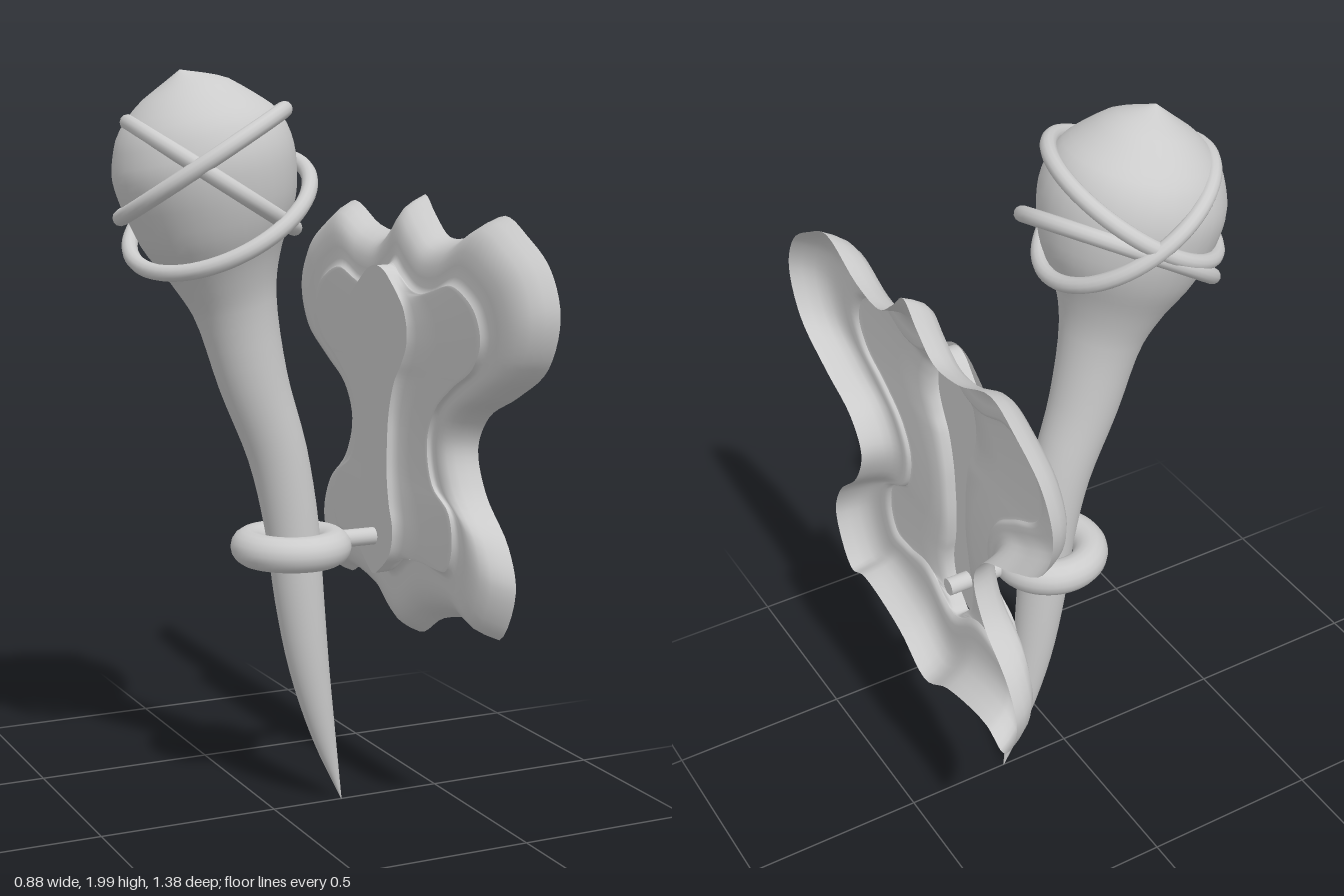
import * as THREE from 'three';

const grey = new THREE.MeshStandardMaterial({ color: 0xcccccc });
const sheet = new THREE.MeshStandardMaterial({ color: 0xcccccc, side: THREE.DoubleSide });

function part(group, name, geometry, material = grey) {
  const mesh = new THREE.Mesh(geometry, material);
  mesh.name = name;
  group.add(mesh);
  return mesh;
}

// Skin a list of closed rings (equal point counts) with smooth normals
function loft(rings) {
  const n = rings[0].length, index = [];
  for (let r = 0; r < rings.length - 1; r++) {
    for (let i = 0; i < n; i++) {
      const a = r * n + i, b = r * n + (i + 1) % n;
      index.push(a, a + n, b, b, a + n, b + n);
    }
  }
  const g = new THREE.BufferGeometry();
  g.setAttribute('position', new THREE.Float32BufferAttribute(rings.flat().flatMap(p => [p.x, p.y, p.z]), 3));
  g.setIndex(index);
  g.computeVertexNormals();
  return g;
}

// Stem and bulb: x, y, radius along the axis from the tip upward
function stemGeometry() {
  const spine = [
    [0.205, 0.01, 0.001], [0.15, 0.2, 0.033], [0.105, 0.4, 0.055], [0.075, 0.6, 0.067],
    [0.052, 0.8, 0.073], [0.01, 1.0, 0.08], [-0.06, 1.2, 0.092], [-0.112, 1.4, 0.112],
    [-0.14, 1.5, 0.148], [-0.165, 1.6, 0.2], [-0.183, 1.7, 0.23], [-0.203, 1.79, 0.235],
    [-0.225, 1.87, 0.203], [-0.245, 1.95, 0.115], [-0.26, 2.0, 0.001]];
  const path = new THREE.CatmullRomCurve3(spine.map(p => new THREE.Vector3(p[0], p[1], 0)));
  const radius = new THREE.CatmullRomCurve3(spine.map(p => new THREE.Vector3(p[2], p[1], 0)));
  const rings = [];
  for (let s = 0; s <= 56; s++) {
    const c = path.getPoint(s / 56), t = path.getTangent(s / 56);
    const r = Math.max(0.001, radius.getPoint(s / 56).x);
    rings.push(Array.from({ length: 32 }, (_, i) => {
      const a = i / 32 * Math.PI * 2;
      return new THREE.Vector3(c.x + t.y * r * Math.cos(a), c.y - t.x * r * Math.cos(a), r * Math.sin(a));
    }));
  }
  return loft(rings);
}

// Half outlines (z, y) of the wall plate, top to bottom, with matching points
const rim = [[0, 1.675], [0.06, 1.625], [0.14, 1.57], [0.26, 1.58], [0.42, 1.64], [0.53, 1.595], [0.64, 1.52],
  [0.688, 1.41], [0.64, 1.28], [0.5, 1.19], [0.36, 1.12], [0.307, 1.03], [0.35, 0.92], [0.47, 0.8],
  [0.51, 0.69], [0.434, 0.547], [0.35, 0.575], [0.14, 0.535], [0, 0.463]];
const field = [[0, 1.495], [0.05, 1.465], [0.12, 1.43], [0.2, 1.425], [0.31, 1.46], [0.38, 1.445], [0.45, 1.4],
  [0.478, 1.33], [0.44, 1.26], [0.34, 1.2], [0.25, 1.13], [0.21, 1.04], [0.24, 0.93], [0.33, 0.87],
  [0.35, 0.78], [0.32, 0.715], [0.25, 0.71], [0.14, 0.725], [0, 0.65]];
const leaf = [[0, 1.49], [0.03, 1.48], [0.06, 1.45], [0.085, 1.42], [0.105, 1.39], [0.115, 1.36], [0.12, 1.33],
  [0.118, 1.29], [0.1, 1.24], [0.075, 1.19], [0.055, 1.1], [0.05, 1.02], [0.05, 0.93], [0.06, 0.85],
  [0.072, 0.8], [0.073, 0.76], [0.06, 0.71], [0.03, 0.67], [0, 0.645]];

// Mirror a half outline and smooth it into a closed ring
function ring(half) {
  const mirrored = half.slice(1, -1).reverse().map(([z, y]) => [-z, y]);
  const curve = new THREE.CatmullRomCurve3([...half, ...mirrored].map(([z, y]) => new THREE.Vector3(0, y, z)), true);
  return Array.from({ length: 180 }, (_, i) => curve.getPoint(i / 180));
}

const blend = (a, b, t, x) => a.map((p, i) => {
  const q = p.clone().lerp(b[i], t);
  q.x = x;
  return q;
});

export function createModel() {
  const model = new THREE.Group();
  model.name = 'wallTorch';

  part(model, 'stemAndBulb', stemGeometry());

  // Bands round the bulb: centre x, y, slope of the plane in x and in z
  [[-0.2, 1.765, 0.6, 0.26], [-0.175, 1.735, -0.6, -0.2], [-0.155, 1.64, 0.62, -0.3]].forEach(([x, y, sx, sz]) => {
    const band = part(model, 'bulbBand', new THREE.TorusGeometry(0.25, 0.021, 12, 64));
    band.position.set(x, y, 0);
    band.quaternion.setFromUnitVectors(new THREE.Vector3(0, 0, 1), new THREE.Vector3(-sx, 1, -sz).normalize());
  });

  // Holder ring and the rod that carries it
  const holder = part(model, 'holderRing', new THREE.TorusGeometry(0.115, 0.048, 16, 48));
  holder.rotation.x = Math.PI / 2;
  holder.position.set(0.05, 0.745, 0);
  const rod = part(model, 'holderRod', new THREE.CylinderGeometry(0.024, 0.024, 0.19, 20));
  rod.rotation.z = Math.PI / 2;
  rod.position.set(0.265, 0.75, 0);

  // Hollow wall plate: curved border, flat field, then the recess wall
  const R = ring(rim), F = ring(field), L = ring(leaf);
  const border = [[0, 0.445], [0.08, 0.415], [0.18, 0.388], [0.32, 0.369], [0.5, 0.36], [0.7, 0.357],
    [0.88, 0.358], [0.96, 0.353], [1, 0.346]].map(([t, x]) => blend(R, F, t, x));
  const floor = [[0, 0.346], [0.06, 0.344], [0.6, 0.343], [0.88, 0.337], [1, 0.325], [1, 0.3]]
    .map(([t, x]) => blend(F, L, t, x));
  part(model, 'plateBorder', loft(border), sheet);
  part(model, 'plateField', loft(floor), sheet);

  // Leaf-shaped back of the recess, flaring past its wall
  const shape = new THREE.Shape(L.map(p => new THREE.Vector2(-p.z * 1.5, p.y)));
  const back = part(model, 'recessBack', new THREE.ShapeGeometry(shape), sheet);
  back.rotation.y = Math.PI / 2;
  back.position.x = 0.298;

  return model;
}
